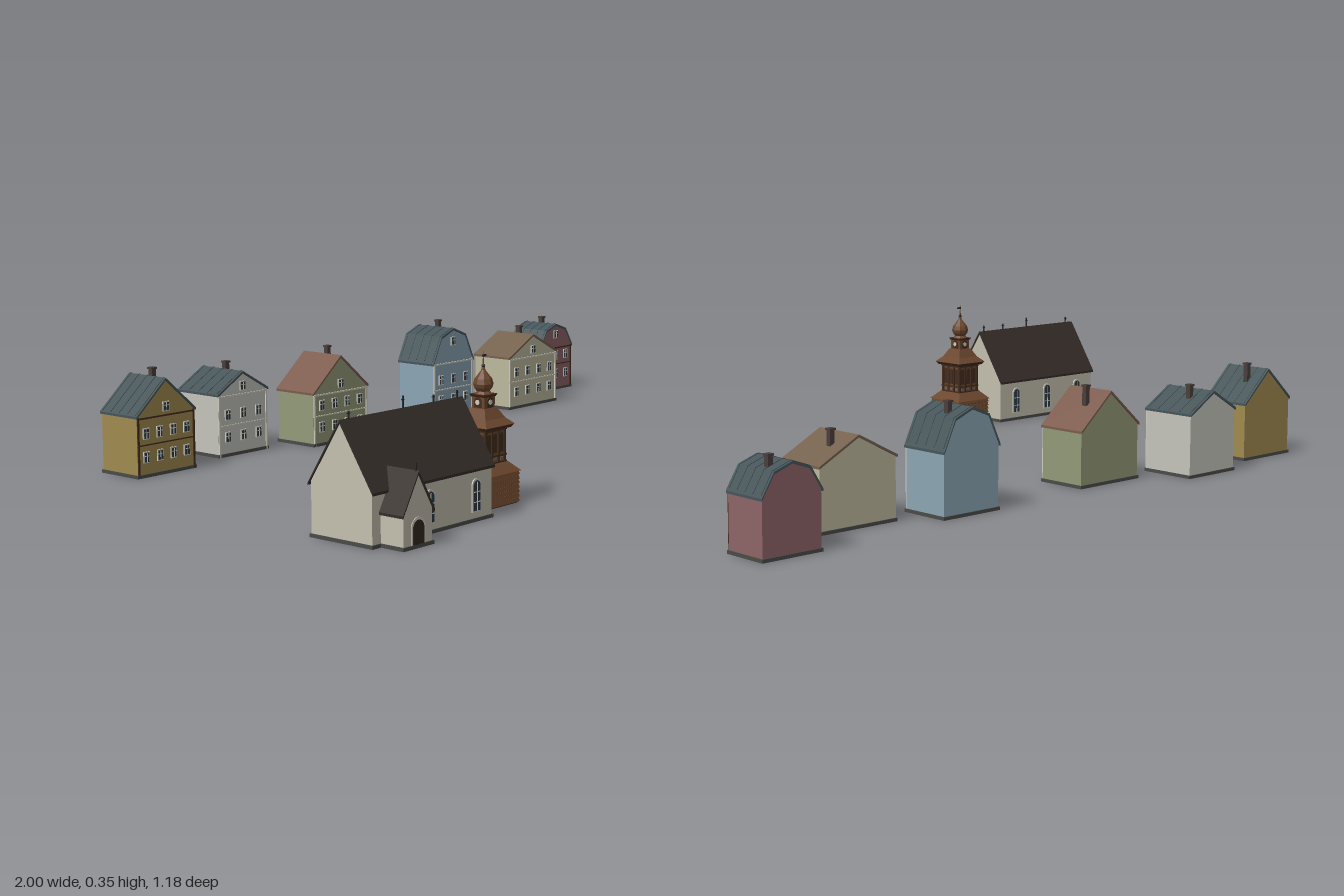
import * as THREE from 'three';

const mat = (color, flat = true) => new THREE.MeshStandardMaterial({ color, flatShading: flat, side: THREE.DoubleSide });
const M = {
  trim: mat(0xd0cdbf), glass: mat(0x2c3a46), plinth: mat(0x4a4a48), brick: mat(0x4a3f3b),
  slate: mat(0x47565a), tile: mat(0x7d5c4e), tan: mat(0x75624f), shingle: mat(0x352d29),
  plaster: mat(0xc4c0ae), wood: mat(0x6b462d), darkWood: mat(0x432c1d), door: mat(0x33291f), iron: mat(0x2a2a2a),
};

function add(parent, name, geo, material, x = 0, y = 0, z = 0) {
  const m = new THREE.Mesh(geo, material);
  m.name = name;
  m.position.set(x, y, z);
  parent.add(m);
  return m;
}
const box = (p, name, w, h, d, material, x, y, z) => add(p, name, new THREE.BoxGeometry(w, h, d), material, x, y, z);

function prism(points, depth) {
  const shape = new THREE.Shape(points.map(([x, y]) => new THREE.Vector2(x, y)));
  return new THREE.ExtrudeGeometry(shape, { depth, bevelEnabled: false, curveSegments: 8 }).translate(0, 0, -depth / 2);
}

// Roof outline from left eave to right eave; a gambrel has a knee on each side
function roofLine(w, eave, ridge, knee) {
  const half = [[-w / 2, eave]];
  if (knee) half.push([-w * 0.31, knee]);
  return [...half, [0, ridge], ...half.slice().reverse().map(([x, y]) => [-x, y])];
}

// Walls and roof, with the ridge along z
function shell(g, w, d, line, wall, roof, over = 0.006, t = 0.006) {
  const lip = line.map((p) => p.slice());
  const slope = (line[1][1] - line[0][1]) / (line[1][0] - line[0][0]);
  for (const [i, s] of [[0, -1], [lip.length - 1, 1]]) {
    lip[i][0] += s * over;
    lip[i][1] -= over * slope;
  }
  add(g, 'walls', prism([[-w / 2, 0], ...line, [w / 2, 0]], d), wall);
  add(g, 'roof', prism([...lip.map(([x, y]) => [x, y + t]), ...lip.slice().reverse()], d + 0.008), roof);
  box(g, 'plinth', w + 0.006, 0.008, d + 0.006, M.plinth, 0, 0.004, 0);
}

// Framed window with glazing bars, facing +z
function windowPane(p, x, y, z, w = 0.019, h = 0.028) {
  const g = new THREE.Group();
  g.name = 'window';
  g.position.set(x, y, z);
  box(g, 'windowFrame', w, h, 0.004, M.trim, 0, 0, 0);
  box(g, 'windowGlass', w * 0.76, h * 0.82, 0.002, M.glass, 0, 0, 0.002);
  box(g, 'mullion', 0.0018, h * 0.8, 0.002, M.trim, 0, 0, 0.003);
  box(g, 'transom', w * 0.76, 0.0018, 0.002, M.trim, 0, h * 0.12, 0.003);
  p.add(g);
}

// Round-headed panel standing on its base
function arch(w, h, d) {
  const r = w / 2, s = new THREE.Shape();
  s.moveTo(-r, 0);
  s.lineTo(r, 0);
  s.lineTo(r, h - r);
  s.absarc(0, h - r, r, 0, Math.PI);
  s.lineTo(-r, 0);
  return new THREE.ExtrudeGeometry(s, { depth: d, bevelEnabled: false, curveSegments: 6 });
}
function archedWindow(p, x, y, z, w, h, back = false) {
  const g = new THREE.Group();
  g.name = 'archedWindow';
  g.position.set(x, y, z);
  if (back) g.rotation.y = Math.PI;
  add(g, 'archFrame', arch(w, h, 0.003), M.trim);
  add(g, 'archGlass', arch(w * 0.74, h * 0.9, 0.0015), M.glass, 0, h * 0.04, 0.003);
  box(g, 'mullion', 0.002, h * 0.85, 0.001, M.trim, 0, h * 0.47, 0.005);
  for (const k of [0.3, 0.6]) box(g, 'transom', w * 0.74, 0.002, 0.001, M.trim, 0, h * k, 0.005);
  p.add(g);
}

function house(o) {
  const { x, z, w, d, eave, ridge, knee } = o;
  const g = new THREE.Group();
  g.name = o.name;
  g.position.set(x, 0, z);
  const line = roofLine(w, eave, ridge, knee);
  shell(g, w, d, line, mat(o.color), o.roof, 0.003);
  // Standing seams down each roof slope
  if (o.roof === M.slate) {
    for (let s = 0; s < line.length - 1; s++) {
      const [ax, ay] = line[s], [bx, by] = line[s + 1];
      for (let i = 0; i < 5; i++) {
        const seam = box(g, 'roofSeam', Math.hypot(bx - ax, by - ay), 0.002, 0.002, o.roof, (ax + bx) / 2, (ay + by) / 2 + 0.0065, d * (i / 4 - 0.5) * 0.95);
        seam.rotation.z = Math.atan2(by - ay, bx - ax);
      }
    }
  }
  box(g, 'chimney', 0.013, 0.05, 0.013, M.brick, o.chimney, ridge - 0.007, -0.022);
  box(g, 'chimneyCap', 0.017, 0.005, 0.017, M.brick, o.chimney, ridge + 0.018, -0.022);
  // Two storeys of windows and one in the gable
  const f = d / 2 + 0.001, n = o.cols;
  for (const y of [0.05, 0.108]) {
    for (let i = 0; i < n; i++) windowPane(g, ((i + 0.5) / n - 0.5) * w * 0.94, y, f);
  }
  windowPane(g, 0, (knee ? knee : eave) + (knee ? -0.01 : 0.018), f, 0.02, 0.024);
  // Corner boards and cornice
  for (const s of [-1, 1]) box(g, 'cornerBoard', 0.005, eave, 0.004, o.trim, s * (w / 2 - 0.003), eave / 2, f);
  box(g, 'floorBand', w, 0.003, 0.003, o.trim, 0, 0.08, f);
  box(g, 'cornice', w, 0.004, 0.004, o.trim, 0, eave - 0.004, f);
  return g;
}

function church() {
  const g = new THREE.Group();
  g.name = 'church';
  g.position.set(-0.8, 0, 0.435);
  const nave = new THREE.Group();
  nave.name = 'nave';
  nave.rotation.y = Math.PI / 2;
  shell(nave, 0.174, 0.39, roofLine(0.174, 0.122, 0.256), M.plaster, M.shingle);
  g.add(nave);
  for (const x of [-0.015, 0.14]) archedWindow(g, x, 0.022, 0.087, 0.03, 0.075);
  for (const x of [-0.13, 0, 0.13]) archedWindow(g, x, 0.022, -0.087, 0.03, 0.075, true);
  // Ridge finials
  for (const [x, h] of [[-0.17, 0.018], [0, 0.028], [0.1, 0.018], [0.18, 0.018]]) {
    box(g, 'ridgeFinial', 0.003, h, 0.003, M.iron, x, 0.26 + h / 2, 0);
    box(g, 'finialArm', 0.009, 0.002, 0.002, M.iron, x, 0.26 + h * 0.7, 0);
  }
  // Entrance porch
  const porch = new THREE.Group();
  porch.name = 'porch';
  porch.position.set(-0.124, 0, 0.096);
  shell(porch, 0.09, 0.108, roofLine(0.09, 0.078, 0.157), M.plaster, M.shingle, 0.005);
  add(porch, 'doorFrame', arch(0.044, 0.066, 0.002), M.trim, 0, 0, 0.0535);
  add(porch, 'door', arch(0.034, 0.06, 0.002), M.door, 0, 0, 0.0548);
  box(porch, 'porchFinial', 0.003, 0.018, 0.003, M.iron, 0, 0.17, 0.05);
  g.add(porch);
  return g;
}

// Square frustum given by its bottom and top widths
function frustum(p, name, w0, w1, y0, y1, material) {
  const geo = new THREE.CylinderGeometry(w1 / Math.SQRT2, w0 / Math.SQRT2, y1 - y0, 4).rotateY(Math.PI / 4);
  return add(p, name, geo, material, 0, (y0 + y1) / 2, 0);
}

function bellTower() {
  const g = new THREE.Group();
  g.name = 'bellTower';
  g.position.set(-0.505, 0, 0.416);
  // Plank-clad base
  frustum(g, 'base', 0.112, 0.112, 0, 0.076, M.darkWood);
  for (let i = 0; i < 7; i++) frustum(g, 'plank', 0.119, 0.115, 0.003 + i * 0.0105, 0.012 + i * 0.0105, M.wood);
  frustum(g, 'skirtRoof', 0.124, 0.08, 0.075, 0.097, M.wood);
  frustum(g, 'shaft', 0.068, 0.068, 0.095, 0.182, M.wood);
  for (const y of [0.096, 0.112, 0.171]) frustum(g, 'band', 0.077, 0.077, y, y + 0.004, M.darkWood);
  // Same trim on all four sides of the shaft and lantern
  for (let k = 0; k < 4; k++) {
    const side = new THREE.Group();
    side.name = 'towerSide';
    side.rotation.y = k * Math.PI / 2;
    for (const x of [-0.034, -0.0115, 0.0115, 0.034]) box(side, 'pilaster', 0.006, 0.075, 0.006, M.darkWood, x, 0.137, 0.034);
    for (const x of [-0.0225, 0, 0.0225]) {
      add(side, 'louvre', arch(0.013, 0.045, 0.002), M.darkWood, x, 0.121, 0.0335);
      box(side, 'railPanel', 0.01, 0.007, 0.003, M.tan, x, 0.106, 0.0345);
    }
    add(side, 'lanternOpening', arch(0.02, 0.024, 0.002), M.darkWood, 0, 0.224, 0.0185);
    add(side, 'clockFace', new THREE.CylinderGeometry(0.006, 0.006, 0.002, 12).rotateX(Math.PI / 2), M.trim, 0, 0.236, 0.021);
    g.add(side);
  }
  // Swept roof, lantern and onion dome
  frustum(g, 'eaves', 0.09, 0.1, 0.176, 0.184, M.darkWood);
  frustum(g, 'roofLower', 0.102, 0.07, 0.184, 0.199, M.wood);
  frustum(g, 'roofUpper', 0.07, 0.044, 0.199, 0.222, M.wood);
  frustum(g, 'lantern', 0.037, 0.037, 0.22, 0.25, M.wood);
  frustum(g, 'lanternCornice', 0.04, 0.046, 0.248, 0.254, M.darkWood);
  const profile = [[0.022, 0.252], [0.015, 0.26], [0.021, 0.268], [0.0235, 0.277], [0.02, 0.289], [0.011, 0.3], [0.005, 0.308], [0.002, 0.322], [0, 0.352]];
  add(g, 'onionDome', new THREE.LatheGeometry(profile.map(([r, y]) => new THREE.Vector2(r, y)), 8), M.wood);
  add(g, 'finialBall', new THREE.SphereGeometry(0.0045, 8, 6), M.iron, 0, 0.318, 0);
  box(g, 'weatherVane', 0.014, 0.005, 0.0015, M.iron, 0.004, 0.341, 0);
  return g;
}

export function createModel() {
  const model = new THREE.Group();
  model.name = 'village';
  const houses = [
    { name: 'yellowHouse', x: -0.735, z: -0.465, w: 0.185, d: 0.128, eave: 0.15, ridge: 0.232, color: 0xa08a50, roof: M.slate, trim: M.darkWood, chimney: 0.035, cols: 4 },
    { name: 'whiteHouse', x: -0.435, z: -0.517, w: 0.172, d: 0.145, eave: 0.16, ridge: 0.21, color: 0xc4c4bc, roof: M.slate, trim: M.trim, chimney: 0.032, cols: 3 },
    { name: 'greenHouse', x: -0.155, z: -0.428, w: 0.206, d: 0.13, eave: 0.14, ridge: 0.228, color: 0x939a78, roof: M.tile, trim: M.trim, chimney: 0.042, cols: 4 },
    { name: 'blueHouse', x: 0.354, z: -0.465, w: 0.172, d: 0.128, eave: 0.158, knee: 0.226, ridge: 0.247, color: 0x8ba5b3, roof: M.slate, trim: M.trim, chimney: 0.035, cols: 3 },
    { name: 'creamHouse', x: 0.636, z: -0.395, w: 0.223, d: 0.128, eave: 0.15, ridge: 0.207, color: 0xbdb99e, roof: M.tan, trim: M.trim, chimney: 0.044, cols: 4 },
    { name: 'redHouse', x: 0.917, z: -0.518, w: 0.158, d: 0.115, eave: 0.135, knee: 0.183, ridge: 0.2, color: 0x8e6467, roof: M.slate, trim: M.darkWood, chimney: 0.033, cols: 3 },
  ];
  houses.forEach((o) => model.add(house(o)));
  model.add(church(), bellTower());
  return model;
}
